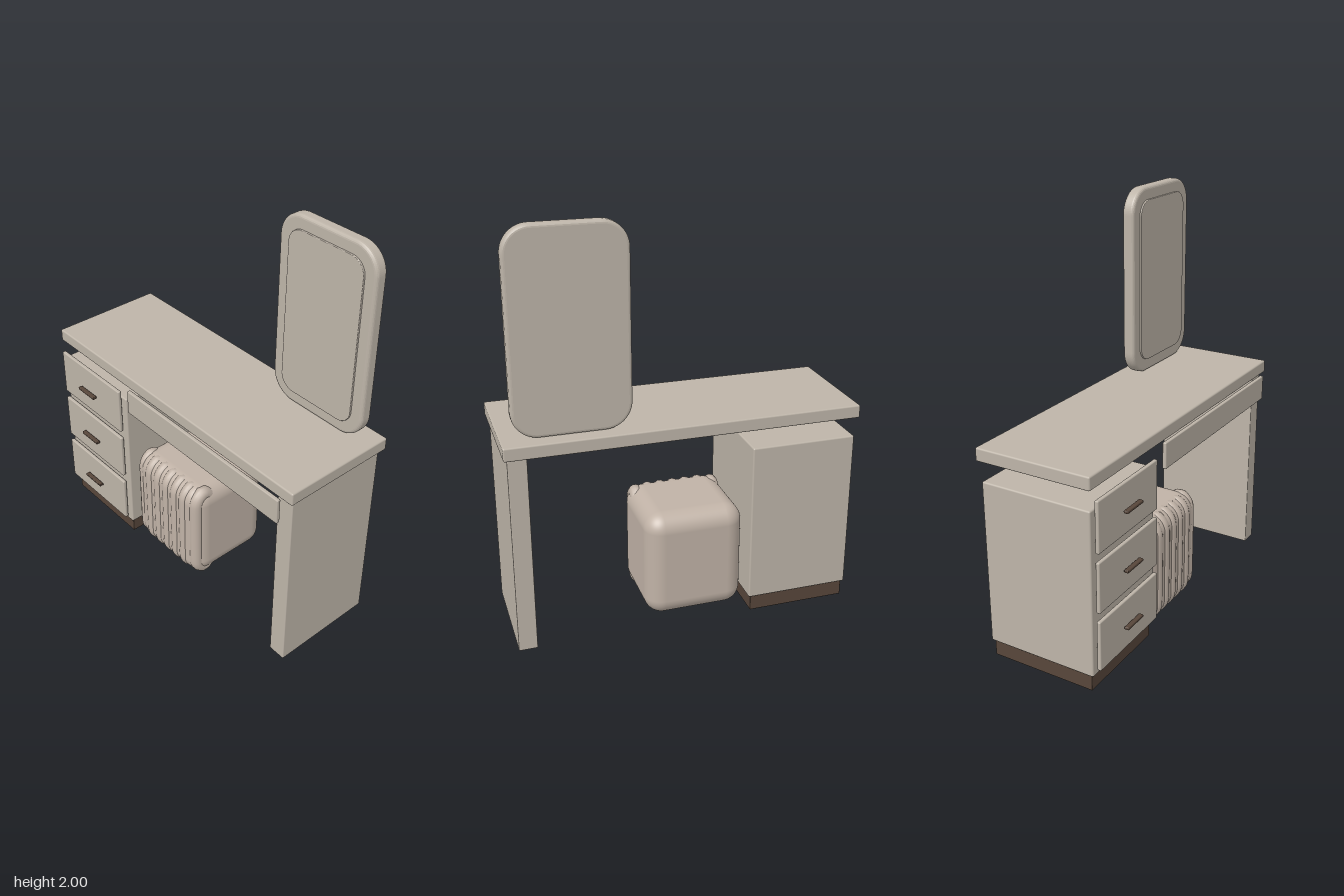
import * as THREE from 'three';
import { RoundedBoxGeometry } from 'three/addons/geometries/RoundedBoxGeometry.js';

function material(name, color) {
  const m = new THREE.MeshStandardMaterial({ color });
  m.name = name;
  return m;
}

// Box given by its limits on each axis, with softened edges
function block(name, [x0, x1], [y0, y1], [z0, z1], radius, mat, segments = 2) {
  const geo = new RoundedBoxGeometry(x1 - x0, y1 - y0, z1 - z0, segments, radius);
  const mesh = new THREE.Mesh(geo, mat);
  mesh.position.set((x0 + x1) / 2, (y0 + y1) / 2, (z0 + z1) / 2);
  mesh.name = name;
  return mesh;
}

// Upright plate with round corners and a bevelled rim
function roundedPlate(name, [x0, x1], [y0, y1], [z0, z1], corner, bevel, mat) {
  const w = (x1 - x0) / 2 - bevel, h = (y1 - y0) / 2 - bevel, r = corner - bevel;
  const s = new THREE.Shape();
  s.absarc(w - r, h - r, r, 0, Math.PI / 2);
  s.absarc(-w + r, h - r, r, Math.PI / 2, Math.PI);
  s.absarc(-w + r, -h + r, r, Math.PI, Math.PI * 1.5);
  s.absarc(w - r, -h + r, r, Math.PI * 1.5, Math.PI * 2);
  s.closePath();
  const geo = new THREE.ExtrudeGeometry(s, {
    depth: z1 - z0 - 2 * bevel, bevelEnabled: true, bevelSize: bevel,
    bevelThickness: bevel, bevelSegments: 4, curveSegments: 12,
  });
  const mesh = new THREE.Mesh(geo, mat);
  mesh.position.set((x0 + x1) / 2, (y0 + y1) / 2, z0 + bevel);
  mesh.name = name;
  return mesh;
}

export function createModel() {
  const model = new THREE.Group();
  model.name = 'dressingTable';
  const wood = material('greige lacquer', 0xbdb4a8);
  const fabric = material('soft fabric', 0xc0b2a6);
  const dark = material('dark brown', 0x57463a);

  // Table top, side panel and apron drawer
  model.add(
    block('tableTop', [-0.855, 0.85], [0.99, 1.055], [-0.322, 0.266], 0.008, wood),
    block('sidePanel', [0.742, 0.832], [0, 0.99], [-0.294, 0.242], 0.005, wood),
    block('apronDrawer', [-0.265, 0.785], [0.86, 0.989], [0.267, 0.287], 0.005, wood),
  );

  // Drawer cabinet on a recessed plinth
  const cabinet = new THREE.Group();
  cabinet.name = 'drawerCabinet';
  cabinet.add(
    block('cabinetBody', [-0.842, -0.32], [0.081, 0.892], [-0.306, 0.256], 0.008, wood),
    block('plinth', [-0.83, -0.333], [0, 0.081], [-0.294, 0.242], 0.003, dark),
  );
  for (const y of [0.115, 0.405, 0.693]) {
    cabinet.add(
      block('drawerFront', [-0.826, -0.34], [y, y + 0.247], [0.267, 0.287], 0.006, wood),
      block('drawerHandle', [-0.648, -0.518], [y + 0.118, y + 0.132], [0.297, 0.32], 0.004, dark),
    );
  }
  model.add(cabinet);

  // Mirror with a raised inner panel
  const mirror = new THREE.Group();
  mirror.name = 'mirror';
  mirror.add(
    roundedPlate('mirrorFrame', [0.248, 0.798], [1.056, 2], [-0.256, -0.193], 0.125, 0.016, wood),
    roundedPlate('mirrorGlass', [0.31, 0.736], [1.12, 1.937], [-0.2, -0.184], 0.075, 0.003, wood),
  );
  model.add(mirror);

  // Upholstered stool
  const stool = new THREE.Group();
  stool.name = 'stool';
  stool.add(block('cushion', [-0.316, 0.18], [0.005, 0.555], [-0.242, 0.226], 0.09, fabric, 8));

  // Padded ribs running over the front edges, their ends buried in the cushion
  const side = [];
  for (let i = 0; i <= 5; i++) {
    const a = (70 - i * 14) * Math.PI / 180;
    side.push([0.465 + 0.063 * Math.sin(a), 0.136 + 0.063 * Math.cos(a)]);
  }
  const profile = [[0.48, 0.1], ...side, [0.36, 0.2], [0.28, 0.2], [0.2, 0.2],
    ...side.map(([y, z]) => [0.56 - y, z]).reverse(), [0.08, 0.1]];
  const path = new THREE.CatmullRomCurve3(profile.map(([y, z]) => new THREE.Vector3(0, y, z)));
  const ribGeo = new THREE.TubeGeometry(path, 60, 0.035, 14);
  for (let i = -3; i <= 3; i++) {
    const rib = new THREE.Mesh(ribGeo, fabric);
    rib.position.set(-0.068 + i * 0.067, 0, Math.abs(i) === 3 ? -0.012 : 0);
    rib.name = 'stoolRib';
    stool.add(rib);
  }
  model.add(stool);
  return model;
}
